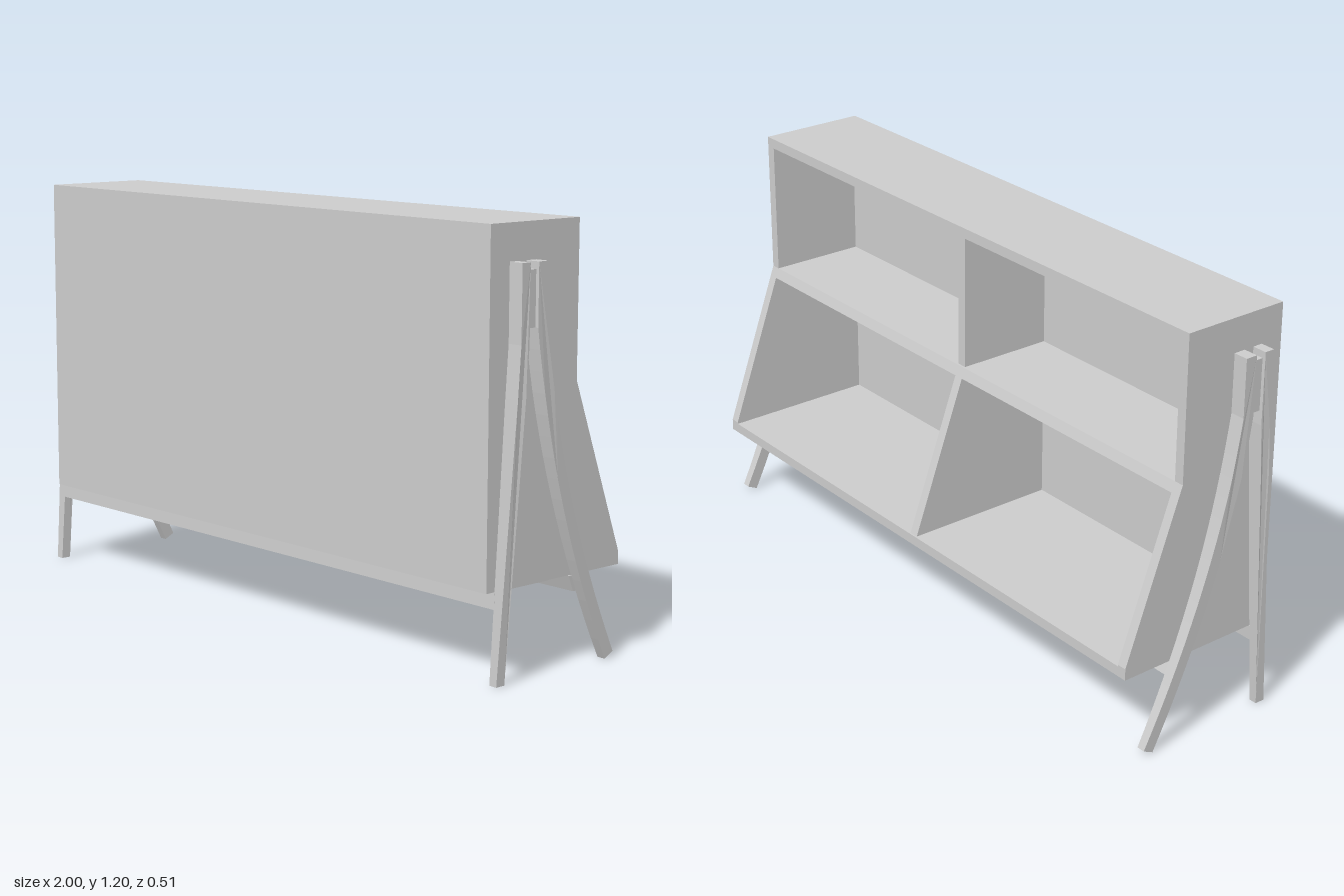
import * as THREE from 'three';

const material = new THREE.MeshStandardMaterial({ color: 0xcccccc, flatShading: true });
const T = 0.03; // board thickness

function add(group, name, geometry) {
  const mesh = new THREE.Mesh(geometry, material);
  mesh.name = name;
  group.add(mesh);
  return mesh;
}

// Box given by its x, y and z limits
function box(group, name, [x0, x1], [y0, y1], [z0, z1]) {
  const mesh = add(group, name, new THREE.BoxGeometry(x1 - x0, y1 - y0, z1 - z0));
  mesh.position.set((x0 + x1) / 2, (y0 + y1) / 2, (z0 + z1) / 2);
  return mesh;
}

// Side outline of [z, y] points, extruded across x0..x1
function slab(points, x0, x1) {
  const shape = new THREE.Shape(points.map(([z, y]) => new THREE.Vector2(-z, y)));
  const geometry = new THREE.ExtrudeGeometry(shape, { depth: x1 - x0, bevelEnabled: false });
  return geometry.rotateY(Math.PI / 2).translate(x0, 0, 0);
}

// Narrow a leg sideways toward the foot
function taper(geometry) {
  const p = geometry.attributes.position;
  for (let i = 0; i < p.count; i++) {
    const t = Math.max(0, (0.75 - p.getY(i)) / 0.75);
    p.setX(i, p.getX(i) + (p.getX(i) > 0.978 ? -0.015 : 0.005) * t);
  }
  geometry.computeVertexNormals();
  return geometry;
}

// Curved rear leg: front edge is a parabola, back edge is offset along its normal
function rearLegOutline() {
  const front = [[0.124, 1.1]], back = [[0.088, 1.1]];
  const n = 16, height = 0.93, width = 0.036;
  for (let i = 0; i <= n; i++) {
    const d = (height * i) / n;
    const z = 0.124 - 0.14 * d - (0.18 / height) * d * d;
    const slope = i === 0 ? 0 : 0.14 + (0.36 / height) * d;
    const len = Math.hypot(1, slope);
    front.push([z, height - d]);
    back.push([z - width / len, height - d + (width * slope) / len]);
  }
  return [...front, ...back.reverse()];
}

export function createModel() {
  const model = new THREE.Group();
  model.name = 'shelfUnit';

  // Cabinet: straight above, flaring backward below the knee
  const cabinet = new THREE.Group();
  cabinet.name = 'cabinet';
  model.add(cabinet);
  const X = 0.955, inner = X - T, F = 0.255, B = -0.075, low = 0.245, top = 1.2, knee = 0.77;
  const profile = [[F, low], [F, top], [B, top], [B, knee], [-F, 0.28], [-F, low]];
  add(cabinet, 'leftSide', slab(profile, inner, X));
  add(cabinet, 'rightSide', slab(profile, -X, -inner));
  box(cabinet, 'topPanel', [-inner, inner], [top - T, top], [B, F]);
  add(cabinet, 'bottomPanel', slab(
    [[F, low], [F, low + T], [-F, low + T], [-F, low]], -inner, inner));
  box(cabinet, 'frontPanel', [-inner, inner], [low + T, top - T], [F - T, F]);
  add(cabinet, 'shelf', slab(
    [[F - T, knee - T], [F - T, knee], [B, knee], [B - 0.011, knee - T]], -inner, inner));
  // Dividers, set slightly in from the opening
  box(cabinet, 'upperDivider', [-T, 0], [knee, top - T], [B + 0.006, F - T]);
  add(cabinet, 'lowerDivider', slab(
    [[F - T, low + T], [F - T, knee - T], [B - 0.005, knee - T], [-0.25, low + T]], -T, 0));

  // Base frame under the cabinet
  const base = new THREE.Group();
  base.name = 'baseFrame';
  model.add(base);
  add(base, 'frontRail', slab([[0.232, 0.2], [0.229, low], [0.199, low], [0.202, 0.2]], -X - 0.005, X + 0.005));
  add(base, 'rearRail', slab([[-0.07, 0.2], [-0.052, low], [-0.085, low], [-0.103, 0.2]], -X - 0.005, X + 0.005));
  for (const x of [-0.86, 0, 0.86]) {
    box(base, 'crossBar', [x - T / 2, x + T / 2], [0.215, low], [-0.07, 0.205]);
  }

  // Leg frames on both sides
  const frontLeg = [
    [0.245, 0], [0.1945, 0.75], [0.185, 0.89], [0.185, 1.1],
    [0.155, 1.1], [0.155, 0.89], [0.1645, 0.75], [0.215, 0],
  ];
  const rearLeg = rearLegOutline();
  for (const side of [1, -1]) {
    const frame = new THREE.Group();
    frame.name = side > 0 ? 'leftLegFrame' : 'rightLegFrame';
    const parts = [
      ['frontLeg', taper(slab(frontLeg, X, 1))],
      ['rearLeg', taper(slab(rearLeg, X, 1))],
      ['legSpacer', slab([[0.155, 0.93], [0.155, 1.08], [0.124, 1.08], [0.124, 0.93]], X, 0.99)],
    ];
    for (const [name, geometry] of parts) add(frame, name, geometry);
    frame.scale.x = side;
    model.add(frame);
  }
  return model;
}
